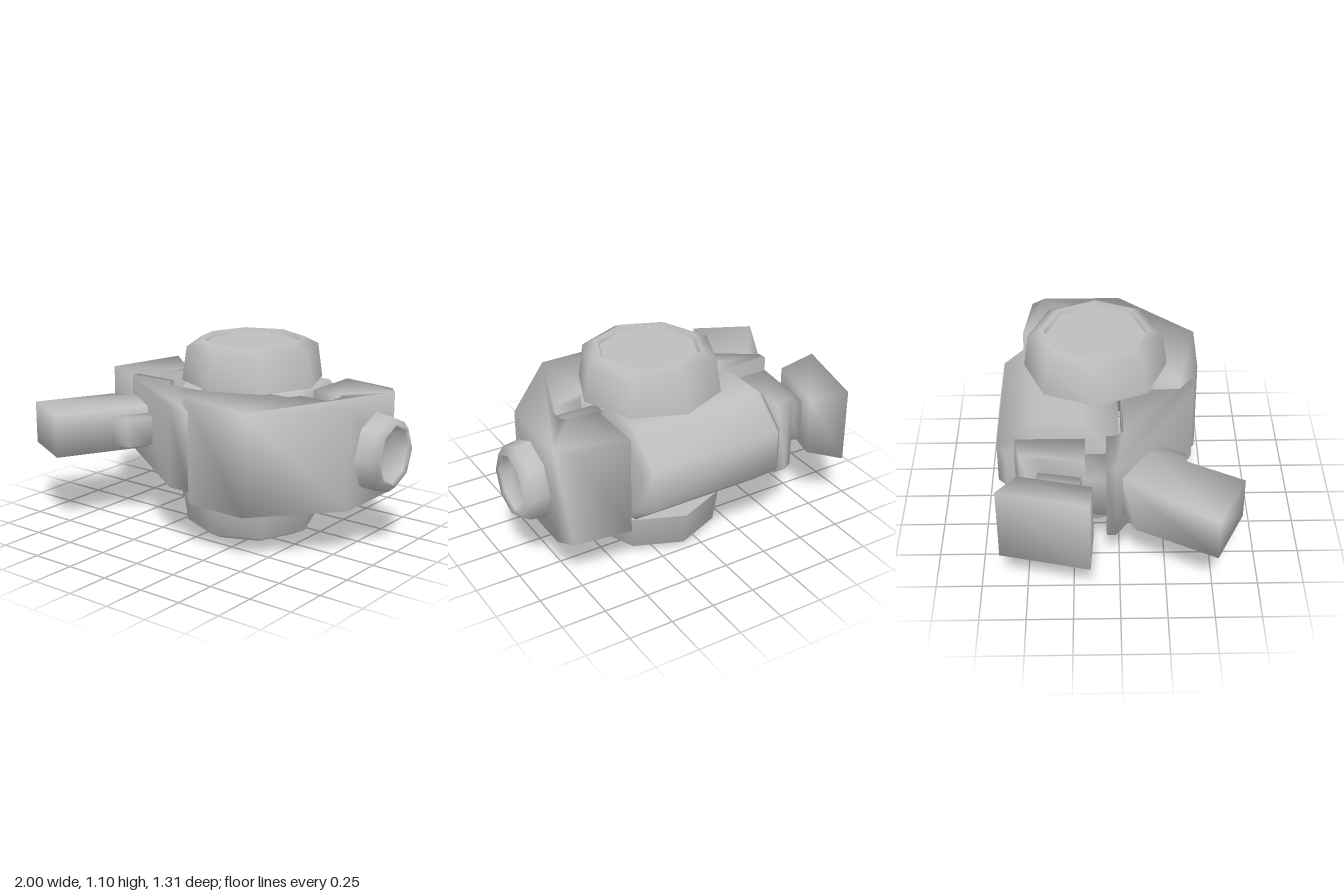
import * as THREE from 'three';
import { mergeVertices } from 'three/addons/utils/BufferGeometryUtils.js';

export function createModel() {
  const model = new THREE.Group();
  const gray = new THREE.MeshStandardMaterial({ color: 0xbe });
  gray.color.setHex(0xbebebe);
  gray.name = 'plain gray';

  // Every part is shaded softly across all its edges
  const add = (name, geometry) => {
    geometry.deleteAttribute('normal');
    geometry.deleteAttribute('uv');
    geometry.clearGroups();
    const smooth = mergeVertices(geometry);
    smooth.computeVertexNormals();
    const mesh = new THREE.Mesh(smooth, gray);
    mesh.name = name;
    model.add(mesh);
  };

  // Prism with a plan outline of [x, z] points between two heights
  const prismGeometry = (plan, y0, y1) => {
    const shape = new THREE.Shape(plan.map(([x, z]) => new THREE.Vector2(x, -z)));
    return new THREE.ExtrudeGeometry(shape, { depth: y1 - y0, bevelEnabled: false })
      .rotateX(-Math.PI / 2).translate(0, y0, 0);
  };
  const prism = (name, plan, y0, y1) => add(name, prismGeometry(plan, y0, y1));

  // Eight-sided turned part from [radius, height] points
  const turned = (profile, start = 0) =>
    new THREE.LatheGeometry(profile.map(([r, h]) => new THREE.Vector2(r, h)), 8, start);

  // Horizontal drum with chamfered ends
  add('drum', turned([[0, -0.42], [0.26, -0.42], [0.303, -0.375], [0.303, 0.4], [0.26, 0.445], [0, 0.445]], Math.PI / 8)
    .rotateZ(-Math.PI / 2).scale(1, 1, 1.17).translate(0, 0.56, -0.328));

  // Recessed caps above and below: flat base, rounded rim, flat floor
  const capPieces = {
    Base: [[0, 0], [0.397, 0]],
    Rim: [[0.397, 0], [0.37, 0.19], [0.29, 0.231], [0.275, 0.2]],
    Floor: [[0.275, 0.2], [0, 0.2]],
  };
  for (const [piece, profile] of Object.entries(capPieces)) {
    add('topCap' + piece, turned(profile).translate(0.11, 0.87, -0.122));
    add('bottomCap' + piece, turned(profile).rotateX(Math.PI).translate(0.11, 0.235, -0.122));
  }

  // Small cupped cap on the side
  const sidePieces = {
    Base: [[0, 0], [0.222, 0]],
    Rim: [[0.222, 0], [0.21, 0.09], [0.175, 0.13], [0.158, 0.11]],
    Bowl: [[0.158, 0.11], [0.13, 0.06], [0, 0.05]],
  };
  for (const [piece, profile] of Object.entries(sidePieces)) {
    add('sideCap' + piece, turned(profile).rotateZ(-Math.PI / 2).scale(1, 1, 0.96).translate(0.87, 0.56, -0.205));
  }

  // Large shell wrapping the front and side, notched for the axle
  prism('shell', [
    [-0.02, 0.02], [-0.02, 0.34], [0.12, 0.448], [0.47, 0.448], [0.848, 0.02], [0.848, -0.43], [0.79, -0.5],
    [0.47, -0.545], [0.47, -0.2], [0.64, -0.2], [0.675, -0.17], [0.675, -0.075], [0.645, -0.045],
    [0.49, -0.045], [0.45, 0.02],
  ], 0.278, 0.84);
  prism('axle', [[0.4, -0.2], [0.64, -0.2], [0.675, -0.17], [0.675, -0.075], [0.645, -0.045], [0.4, -0.045]], 0.332, 0.785);

  // Angled arm running from the shell to the other side
  prism('arm', [
    [-0.705, -0.07], [-0.43, -0.07], [-0.43, -0.025], [-0.39, 0.025], [0.08, 0.025], [0.08, 0.418],
    [-0.05, 0.418], [-0.705, -0.02],
  ], 0.332, 0.785);

  // Blunt barrel pointing outward, with its side block
  prism('barrel', [[-1, 0.495], [-0.68, 0.65], [-0.4, 0.13], [-0.43, 0.03], [-0.64, 0.01], [-0.78, 0.08]], 0.437, 0.68);
  prism('barrelBlock', [[-0.54, 0.36], [-0.405, 0.36], [-0.34, 0.22], [-0.45, 0.16]], 0.478, 0.64);

  // Joint beside the drum
  prism('jointNeck', [[-0.67, -0.06], [-0.45, -0.06], [-0.45, -0.19], [-0.65, -0.19]], 0.437, 0.68);
  prism('joint', [
    [-0.44, -0.55], [-0.52, -0.55], [-0.575, -0.52], [-0.6, -0.43], [-0.625, -0.18], [-0.44, -0.18],
  ], 0.345, 0.775);
  prism('shieldMount', [[-0.69, -0.45], [-0.6, -0.425], [-0.645, -0.2], [-0.74, -0.215]], 0.437, 0.68);

  // Outer shield, shorter on its inner face
  const shield = prismGeometry([[-0.865, -0.63], [-0.685, -0.53], [-0.775, -0.14], [-0.98, -0.155]], 0.345, 0.775);
  const p = shield.attributes.position;
  for (let i = 0; i < p.count; i++) {
    if (p.getX(i) > -0.8) p.setY(i, 0.56 + (p.getY(i) - 0.56) * 0.78);
  }
  add('shield', shield);

  return model;
}
